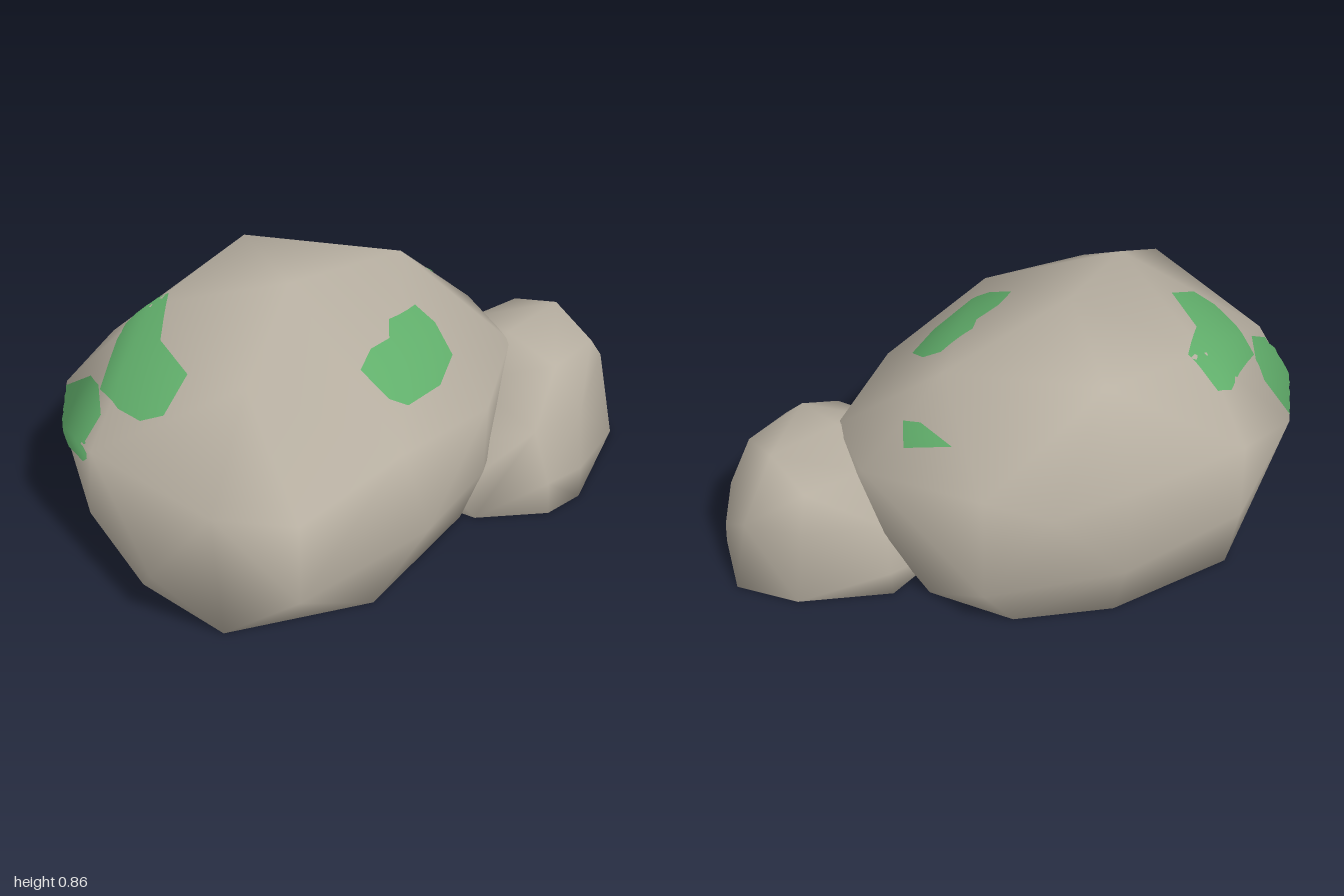
import * as THREE from 'three';
import { mergeVertices } from 'three/addons/utils/BufferGeometryUtils.js';
import { ConvexGeometry } from 'three/addons/geometries/ConvexGeometry.js';

const stone = new THREE.MeshStandardMaterial({ color: 0xb8b0a2 });
stone.name = 'stone';
const moss = new THREE.MeshStandardMaterial({ color: 0x62b06c, side: THREE.DoubleSide });
moss.name = 'moss';

// A boulder: smooth-shaded convex hull around a few corner points
function boulder(name, corners) {
  let geo = new ConvexGeometry(corners.map((c) => new THREE.Vector3(...c)));
  geo.deleteAttribute('normal');
  geo = mergeVertices(geo, 1e-4);
  geo.computeVertexNormals();
  const mesh = new THREE.Mesh(geo, stone);
  mesh.name = name;
  mesh.updateMatrixWorld();
  return mesh;
}

// A thin moss cushion: an outline cast onto the rock from a direction (degrees)
function mossPatch(name, rock, azimuth, elevation, outline) {
  const a = THREE.MathUtils.degToRad(azimuth), e = THREE.MathUtils.degToRad(elevation);
  const right = new THREE.Vector3(Math.cos(a), 0, -Math.sin(a));
  const out = new THREE.Vector3(Math.sin(a) * Math.cos(e), Math.sin(e), Math.cos(a) * Math.cos(e));
  const up = out.clone().cross(right);
  let pts = outline.map((p) => new THREE.Vector2(...p));
  if (THREE.ShapeUtils.isClockWise(pts)) pts.reverse();
  // split every side so that the patch follows the rock
  pts = pts.flatMap((p, i) => [0, 1 / 3, 2 / 3].map((t) => p.clone().lerp(pts[(i + 1) % pts.length], t)));
  const centre = pts.reduce((s, p) => s.add(p), new THREE.Vector2()).divideScalar(pts.length);
  const ray = new THREE.Raycaster();
  const pos = [], nor = [], index = [], rings = 6, n = pts.length;
  for (let r = 0; r <= rings; r++) {
    for (const p of pts) {
      const q = centre.clone().lerp(p, r / rings);
      const from = out.clone().multiplyScalar(4).addScaledVector(right, q.x).addScaledVector(up, q.y);
      ray.set(from, out.clone().negate());
      const hit = ray.intersectObject(rock)[0];
      const normal = hit ? hit.normal.clone().normalize() : out.clone();
      const at = hit ? hit.point : from.addScaledVector(out, -4);
      at.addScaledVector(normal, 0.005 + 0.008 * (1 - (r / rings) ** 2));
      pos.push(...at.toArray());
      nor.push(...normal.toArray());
    }
  }
  for (let r = 0; r < rings; r++) {
    for (let i = 0; i < n; i++) {
      const j = (i + 1) % n, b = r * n, c = b + n;
      index.push(b + i, c + i, c + j);
      if (r > 0) index.push(b + i, c + j, b + j);
    }
  }
  const geo = new THREE.BufferGeometry();
  geo.setAttribute('position', new THREE.Float32BufferAttribute(pos, 3));
  geo.setAttribute('normal', new THREE.Float32BufferAttribute(nor, 3));
  geo.setIndex(index);
  const mesh = new THREE.Mesh(geo, moss);
  mesh.name = name;
  return mesh;
}

export function createModel() {
  const group = new THREE.Group();
  group.name = 'mossyRocks';

  const large = boulder('largeRock', [
    // base
    [-0.85, 0, 0.34], [-0.4, 0, 0.57], [0.14, 0, 0.46], [0.45, 0, 0.22], [0.5, 0, -0.15],
    [0.36, 0, -0.43], [0.06, 0, -0.59], [-0.4, 0, -0.63], [-0.71, 0, -0.38], [-0.87, 0, -0.03],
    // lower belly
    [-1, 0.22, 0.17], [-0.74, 0.2, 0.58], [-0.16, 0.18, 0.59], [0.18, 0.2, 0.52], [0.55, 0.2, 0.3],
    [0.61, 0.25, -0.05], [0.48, 0.16, -0.43], [0.08, 0.22, -0.67], [-0.42, 0.22, -0.67], [-0.92, 0.22, -0.22],
    // shoulder
    [-0.94, 0.54, 0.4], [-0.74, 0.5, 0.58], [-0.3, 0.56, 0.6], [0.18, 0.47, 0.53], [0.55, 0.46, 0.3],
    [0.64, 0.48, 0.02], [0.48, 0.55, -0.43], [0.32, 0.5, -0.59], [0.08, 0.55, -0.68],
    [-0.42, 0.5, -0.67], [-0.69, 0.45, -0.6], [-0.87, 0.45, -0.39], [-0.94, 0.5, -0.17],
    // crown
    [-0.6, 0.76, 0.2], [-0.18, 0.86, -0.04], [0.34, 0.77, -0.03], [0, 0.8, -0.45], [-0.45, 0.73, -0.42],
  ]);

  const small = boulder('smallRock', [
    // base
    [0.12, 0, 0.3], [0.17, 0, 0.5], [0.37, 0, 0.66], [0.52, 0, 0.67], [0.9, 0, 0.5],
    [1, 0, 0.27], [0.88, 0, 0.08], [0.6, 0, -0.08], [0.3, 0, 0],
    // sides
    [0.14, 0.08, 0.42], [0.36, 0.13, 0.66], [0.52, 0.12, 0.67], [0.93, 0.13, 0.44], [0.62, 0.11, -0.1],
    [0.22, 0.26, 0.42], [0.36, 0.31, 0.59], [0.55, 0.32, 0.63], [0.9, 0.3, 0.43],
    [0.98, 0.29, 0.22], [0.87, 0.3, 0.05], [0.6, 0.27, -0.05],
    // top
    [0.34, 0.39, 0.3], [0.56, 0.44, 0.5], [0.8, 0.42, 0.46], [0.56, 0.48, 0.28], [0.83, 0.48, 0.27],
    [0.6, 0.43, 0.07], [0.82, 0.42, 0.09],
  ]);

  group.add(
    large,
    small,
    mossPatch('frontMoss', large, 0, 0, [
      [-0.2, 0.69], [-0.1, 0.7], [0, 0.69], [0.06, 0.71], [0.21, 0.69],
      [0.235, 0.64], [0.2, 0.58], [0.05, 0.57], [-0.14, 0.6], [-0.19, 0.63],
    ]),
    mossPatch('topMoss', large, 0, 90, [
      [-0.8, 0.08], [-0.76, 0.01], [-0.62, 0.05], [-0.55, 0.26], [-0.38, 0.41],
      [-0.42, 0.52], [-0.48, 0.52], [-0.74, 0.35], [-0.79, 0.2],
    ]),
    mossPatch('backMoss', large, 215, 25, [
      [0.25, 0.04], [0.3, 0.16], [0.38, 0.2], [0.53, 0.21], [0.65, 0.12], [0.62, 0.08], [0.47, 0], [0.35, 0.02],
    ]),
    mossPatch('sideMoss', large, 90, 0, [[0.01, 0.63], [0.07, 0.645], [0.22, 0.63], [0.07, 0.575]]),
  );
  return group;
}
